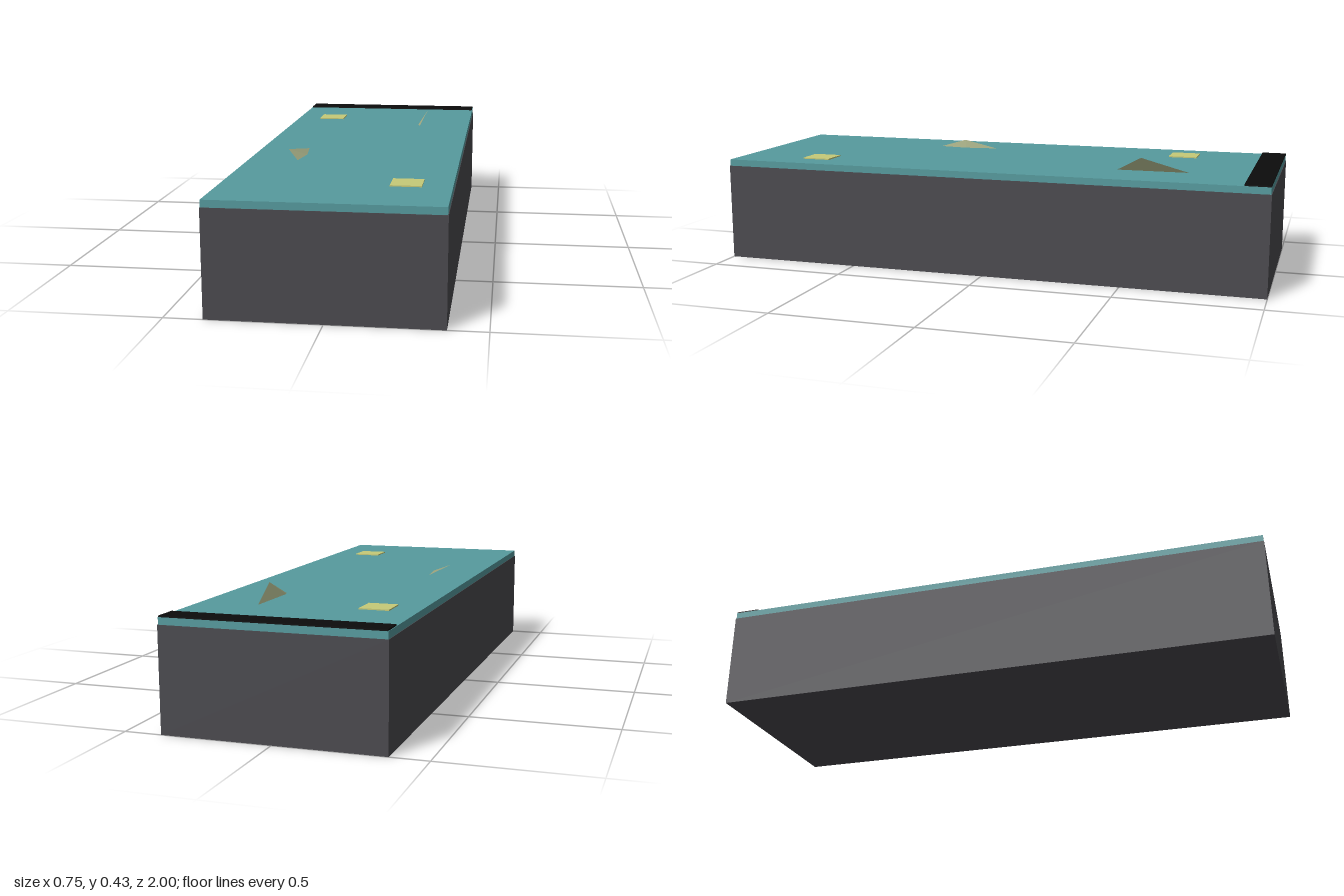
import * as THREE from 'three';
import { ConvexGeometry } from 'three/addons/geometries/ConvexGeometry.js';

const material = (name, color) => {
  const m = new THREE.MeshStandardMaterial({ color });
  m.name = name;
  return m;
};

export function createModel() {
  const model = new THREE.Group();
  const charcoal = material('charcoal', 0x4b4a4f);
  const teal = material('teal', 0x569b9e);
  const black = material('black', 0x0c0c0c);
  const yellow = material('yellow', 0xc6ca78);
  const khaki = material('khaki', 0x9ba27c);
  const top = 0.376;

  const add = (name, geometry, mat) => {
    const mesh = new THREE.Mesh(geometry, mat);
    mesh.name = name;
    model.add(mesh);
    return mesh;
  };
  // Box standing on height y
  const box = (name, mat, w, h, d, x, y, z) =>
    add(name, new THREE.BoxGeometry(w, h, d), mat).position.set(x, y + h / 2, z);

  // Body, covering and the band across the back end
  box('base', charcoal, 0.746, 0.352, 2, 0, 0, 0);
  box('cover', teal, 0.742, top - 0.352, 1.996, 0, 0.352, 0);
  box('backBand', black, 0.738, 0.005, 0.088, 0, top, -0.954);

  // Square pads
  box('rightPad', yellow, 0.102, 0.004, 0.106, -0.226, top, -0.627);
  box('leftPad', yellow, 0.102, 0.004, 0.106, 0.223, top, 0.69);

  // Leaning shards: a narrow triangular foot drawn up to one point
  const shard = (name, foot, tip) => {
    const points = foot.map(([x, z]) => new THREE.Vector3(x, top, z));
    add(name, new ConvexGeometry([...points, new THREE.Vector3(...tip)]), khaki);
  };
  shard('leftShard', [[0.165, -0.7], [0.16, -0.47], [0.169, -0.445]], [0.194, 0.426, -0.535]);
  shard('rightShard', [[-0.197, 0.125], [-0.182, 0.25], [-0.197, 0.36]], [-0.245, 0.399, 0.275]);

  return model;
}
